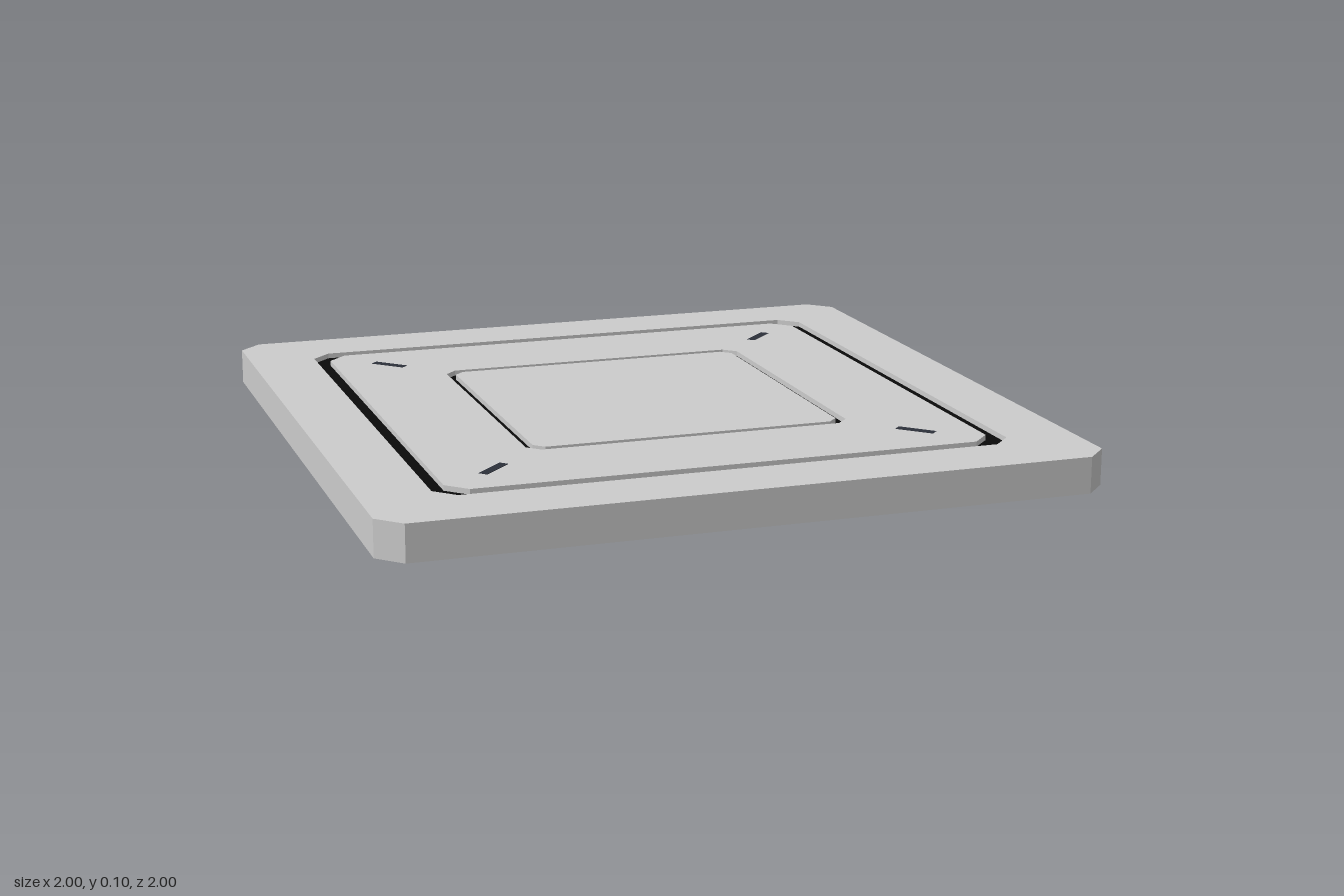
import * as THREE from 'three';

const H = 0.102;      // plate thickness
const DEPTH = 0.015;  // groove depth on both faces

const grey = new THREE.MeshStandardMaterial({ color: 0xcccccc, flatShading: true });
const black = new THREE.MeshStandardMaterial({ color: 0x0a0a0a, flatShading: true });
const slate = new THREE.MeshStandardMaterial({ color: 0x2c303a, flatShading: true });

// Square outline with chamfered corners: half width r, chamfer c
function outline(r, c) {
  const k = r - c;
  return [[r, -k], [r, k], [k, r], [-k, r], [-r, k], [-r, -k], [-k, -r], [k, -r]]
    .map(([x, y]) => new THREE.Vector2(x, y));
}

// Flat slab between two heights, optionally with a chamfered square hole
function slab(name, outer, inner, y0, y1, material) {
  const shape = new THREE.Shape(outline(...outer));
  if (inner) shape.holes.push(new THREE.Path(outline(...inner)));
  const geo = new THREE.ExtrudeGeometry(shape, { depth: y1 - y0, bevelEnabled: false });
  geo.rotateX(-Math.PI / 2).translate(0, y0, 0);
  const mesh = new THREE.Mesh(geo, material);
  mesh.name = name;
  return mesh;
}

export function createModel() {
  const model = new THREE.Group();
  model.name = 'floorPanel';

  // Outer frame, middle band and centre panel, separated by grooves
  model.add(slab('outerFrame', [1, 0.065], [0.807, 0.055], 0, H, grey));
  model.add(slab('middleBand', [0.765, 0.055], [0.467, 0.035], 0, H, grey));
  model.add(slab('centrePanel', [0.443, 0.028], null, 0, H, grey));

  // Dark floors sunk into the grooves
  model.add(slab('outerGroove', [0.807, 0.055], [0.765, 0.055], DEPTH, H - DEPTH, black));
  model.add(slab('innerGroove', [0.467, 0.035], [0.443, 0.028], DEPTH, H - DEPTH, black));

  // Diagonal corner marks showing on both faces
  for (const sx of [-1, 1]) {
    for (const sz of [-1, 1]) {
      const mark = new THREE.Mesh(new THREE.BoxGeometry(0.11, H + 0.002, 0.026), slate);
      mark.name = 'cornerMark';
      mark.position.set(sx * 0.604, H / 2, sz * 0.604);
      mark.rotation.y = -sx * sz * Math.PI / 4;
      model.add(mark);
    }
  }
  model.position.y = 0.001;
  return model;
}
